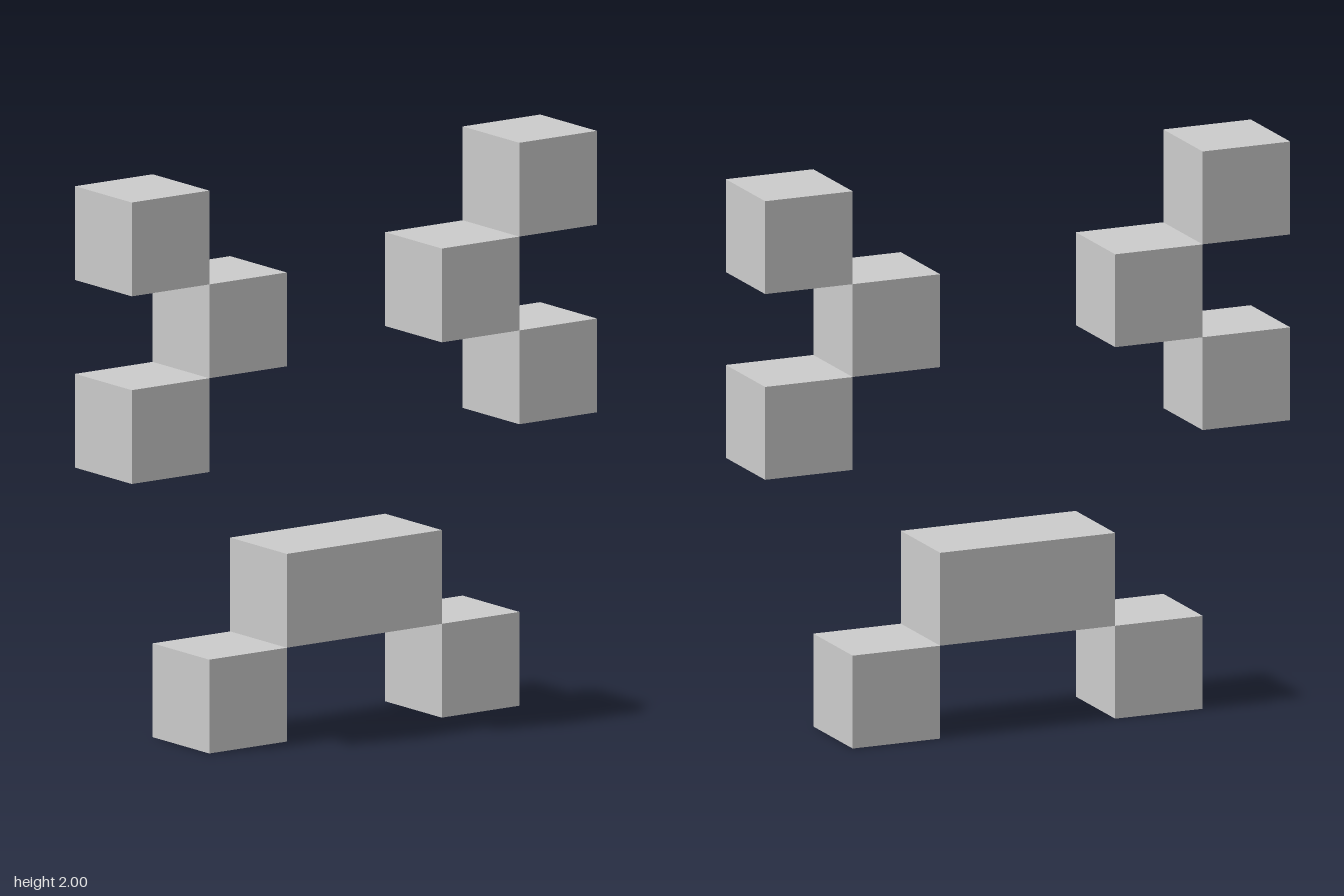
import * as THREE from 'three';

// The face sits on a 6 x 6 grid of cubes
const UNIT = 1 / 3;

export function createModel() {
  const face = new THREE.Group();
  face.name = 'blockFace';
  const material = new THREE.MeshStandardMaterial({ color: 0xcccccc, flatShading: true });

  // Box centred at (column, row) in grid units, `width` cells wide
  function addBlock(parent, name, column, row, width = 1) {
    const block = new THREE.Mesh(new THREE.BoxGeometry(width * UNIT, UNIT, UNIT), material);
    block.name = name;
    block.position.set(column * UNIT, row * UNIT, 0);
    parent.add(block);
  }

  const mouth = new THREE.Group();
  mouth.name = 'mouth';
  face.add(mouth);
  addBlock(mouth, 'mouthBar', 0, 1.5, 2);

  for (const [side, s] of [['left', 1], ['right', -1]]) {
    // Chevron eye pointing towards the middle
    const eye = new THREE.Group();
    eye.name = side + 'Eye';
    face.add(eye);
    addBlock(eye, side + 'EyeTop', s * 2.5, 5.5);
    addBlock(eye, side + 'EyeMiddle', s * 1.5, 4.5);
    addBlock(eye, side + 'EyeBottom', s * 2.5, 3.5);

    // Turned-down mouth corner
    addBlock(mouth, side + 'MouthCorner', s * 1.5, 0.5);
  }
  return face;
}
